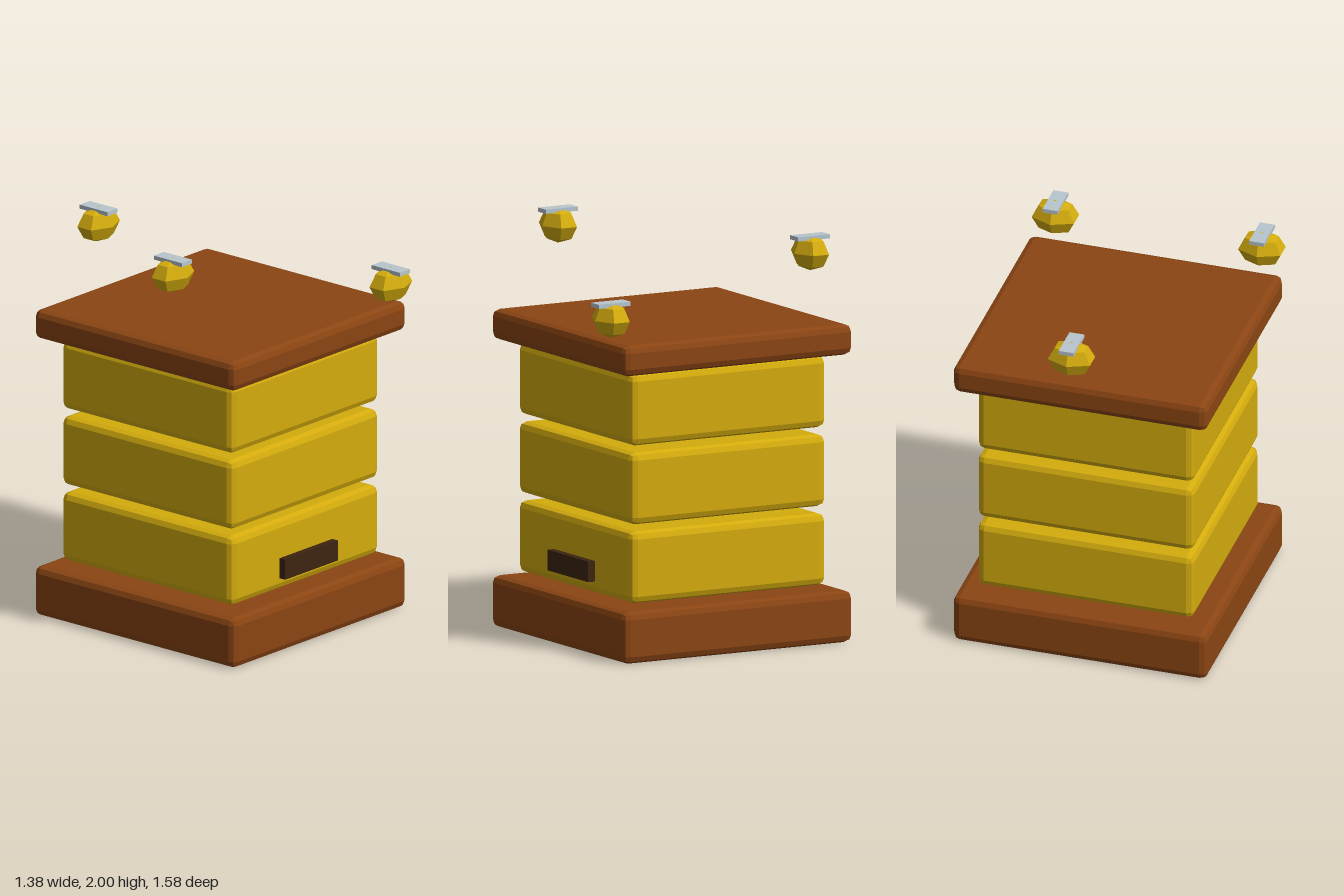
import * as THREE from 'three';
import { RoundedBoxGeometry } from 'three/addons/geometries/RoundedBoxGeometry.js';

function material(name, color) {
  const m = new THREE.MeshStandardMaterial({ color });
  m.name = name;
  return m;
}

export function createModel() {
  const hive = new THREE.Group();
  hive.name = 'beehive';
  const wood = material('brown wood', 0x8b4513);
  const honey = material('honey yellow', 0xd4ac0d);
  const dark = material('dark entrance', 0x3d2410);
  const wingGrey = material('wing grey', 0xb8c6ce);

  const cx = 0.053, cz = 0.063;

  function add(parent, name, geometry, mat, x, y, z) {
    const mesh = new THREE.Mesh(geometry, mat);
    mesh.name = name;
    mesh.position.set(x, y, z);
    parent.add(mesh);
  }

  // Square slab with faceted, bevelled edges, from y0 to y1
  function slab(name, width, y0, y1, mat) {
    const g = new RoundedBoxGeometry(width, y1 - y0, width, 1, 0.035);
    g.computeVertexNormals(); // unindexed, so this gives flat facets
    add(hive, name, g, mat, cx, (y0 + y1) / 2, cz);
  }

  // Base, three stacked hive boxes and roof
  slab('base', 1.268, 0.004, 0.254, wood);
  for (let i = 0; i < 3; i++) {
    const y = 0.275 + i * 0.382;
    slab('hiveBox' + (i + 1), 1.08, y, y + 0.348, honey);
  }
  slab('roof', 1.268, 1.396, 1.544, wood);

  // Entrance slot on the front
  add(hive, 'entrance', new THREE.BoxGeometry(0.386, 0.1, 0.07), dark, cx, 0.386, 0.605);

  // Bees: six-sided faceted body with one flat wing bar across the top
  const body = new THREE.SphereGeometry(0.087, 6, 4)
    .rotateY(Math.PI / 2).scale(1.4, 1, 1).toNonIndexed();
  body.computeVertexNormals();
  const wing = new THREE.BoxGeometry(0.074, 0.02, 0.177);

  [[-0.587, 1.915, 0.318], [0.051, 1.787, -0.702], [0.561, 1.66, 0.7]].forEach((p, i) => {
    const bee = new THREE.Group();
    bee.name = 'bee' + (i + 1);
    bee.position.set(...p);
    add(bee, 'beeBody', body, honey, 0, 0, 0);
    add(bee, 'beeWings', wing, wingGrey, 0, 0.075, 0);
    hive.add(bee);
  });

  return hive;
}
